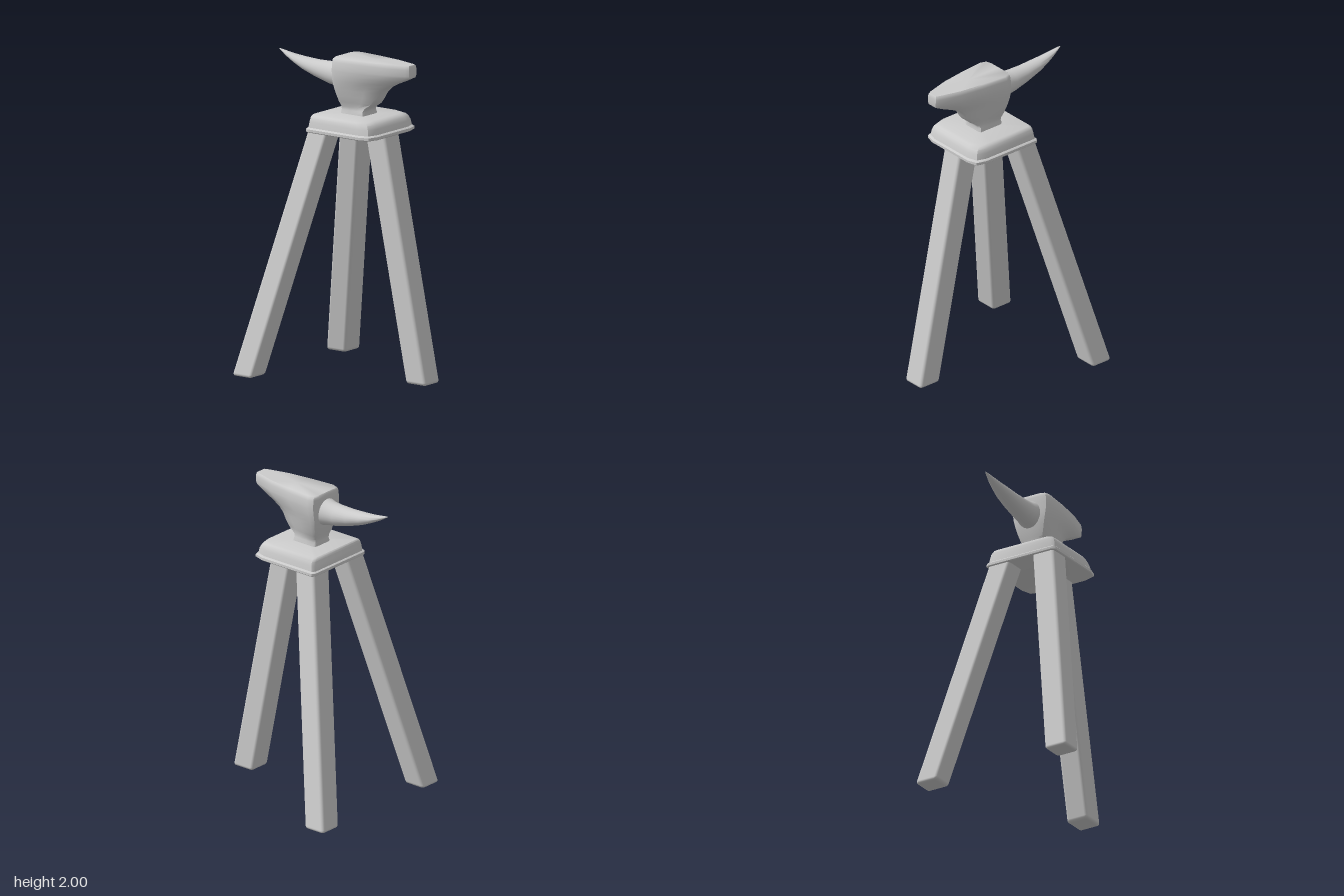
import * as THREE from 'three';
import { toCreasedNormals } from 'three/addons/utils/BufferGeometryUtils.js';
import { RoundedBoxGeometry } from 'three/addons/geometries/RoundedBoxGeometry.js';

const material = new THREE.MeshStandardMaterial({ color: 0xcccccc });

// Skin a series of closed rings (right-handed about the travel direction) and cap both ends
function loft(rings, crease = 0.75) {
  const n = rings[0].length, pos = rings.flat(2), index = [];
  for (let i = 0; i < rings.length - 1; i++) {
    for (let j = 0; j < n; j++) {
      const k = (j + 1) % n;
      const a = i * n + j, b = i * n + k, c = b + n, d = a + n;
      index.push(a, b, c, a, c, d);
    }
  }
  for (const end of [0, rings.length - 1]) {
    const centre = pos.length / 3;
    for (let axis = 0; axis < 3; axis++) {
      pos.push(rings[end].reduce((sum, p) => sum + p[axis], 0) / n);
    }
    for (let j = 0; j < n; j++) {
      const a = end * n + j, b = end * n + (j + 1) % n;
      if (end) index.push(centre, a, b);
      else index.push(centre, b, a);
    }
  }
  const geo = new THREE.BufferGeometry();
  geo.setAttribute('position', new THREE.Float32BufferAttribute(pos, 3));
  geo.setIndex(index);
  return toCreasedNormals(geo, crease);
}

// Complete a half outline of [x, z] pairs by mirroring it in z, at height y
function mirroredRing(half, y) {
  const back = half.filter(([, z]) => z > 0).reverse().map(([x, z]) => [x, -z]);
  return [...half, ...back].map(([x, z]) => [x, y, z]);
}

// Plan of the stand's top: nearly square at -x, blunted corners at +x
function deckRing([y, xl, xr, hz]) {
  return mirroredRing([
    [xl, hz - 0.018], [xl + 0.015, hz], [xr - 0.085, hz],
    [xr - 0.02, hz - 0.02], [xr, hz - 0.085],
  ], y);
}

// Horizontal section of the anvil: wide at the horn end (w), narrow at the heel (wr)
function bodyRing([y, xl, xr, w, wr]) {
  const L = xr - xl, mix = t => w + (wr - w) * t;
  return mirroredRing([
    [xl, 0], [xl, w * 0.6], [xl + 0.02 * L, w * 0.9], [xl + 0.09 * L, w],
    [xl + 0.4 * L, mix(0.2)], [xl + 0.7 * L, mix(0.5)],
    [xr - 0.04 * L, wr], [xr, wr * 0.75], [xr, 0],
  ], y);
}

// Oval section of the horn
function hornRing([x, low, high, w]) {
  return Array.from({ length: 24 }, (_, i) => {
    const a = i / 24 * Math.PI * 2;
    return [x, (low + high) / 2 + (high - low) / 2 * Math.sin(a), w * Math.cos(a)];
  });
}

// Square beam sheared so that its foot stays level while it leans
function leg(foot, top, width, depth) {
  const h = 1.56;
  const geo = new RoundedBoxGeometry(width, h, depth, 3, 0.02);
  geo.translate(0, h / 2, 0);
  const sx = (top[0] - foot[0]) / h, sz = (top[1] - foot[1]) / h;
  geo.applyMatrix4(new THREE.Matrix4().set(
    1, sx, 0, foot[0],
    0, 1, 0, 0,
    0, sz, 1, foot[1],
    0, 0, 0, 1));
  return geo;
}

export function createModel() {
  const model = new THREE.Group();
  const add = (name, geo) => {
    const mesh = new THREE.Mesh(geo, material);
    mesh.name = name;
    model.add(mesh);
  };

  // Three splayed legs
  add('heelLeg', leg([0.52, 0], [0.198, 0], 0.155, 0.152));
  add('frontLeg', leg([-0.472, 0.477], [-0.12, 0.158], 0.15, 0.155));
  add('backLeg', leg([-0.472, -0.477], [-0.12, -0.158], 0.15, 0.155));

  // Stand top: thin rim below, rounded block above
  add('deckRim', loft([
    [1.535, -0.205, 0.29, 0.248], [1.54, -0.21, 0.296, 0.253],
    [1.556, -0.21, 0.296, 0.253], [1.565, -0.2, 0.285, 0.243],
  ].map(deckRing)));
  add('deckBlock', loft([
    [1.55, -0.203, 0.287, 0.243], [1.6, -0.196, 0.278, 0.236],
    [1.625, -0.193, 0.266, 0.229], [1.638, -0.19, 0.25, 0.219],
    [1.645, -0.183, 0.23, 0.205],
  ].map(deckRing)));

  // Anvil: square foot, waist, flaring body and heel
  add('anvilBody', loft([
    [1.63, -0.072, 0.112, 0.075, 0.075], [1.652, -0.072, 0.112, 0.074, 0.074],
    [1.67, -0.068, 0.108, 0.069, 0.067], [1.69, -0.07, 0.118, 0.073, 0.06],
    [1.72, -0.08, 0.165, 0.088, 0.055], [1.76, -0.09, 0.195, 0.102, 0.055],
    [1.8, -0.099, 0.218, 0.114, 0.055], [1.83, -0.104, 0.25, 0.122, 0.054],
    [1.86, -0.107, 0.305, 0.129, 0.052], [1.89, -0.108, 0.375, 0.134, 0.049],
    [1.92, -0.108, 0.437, 0.136, 0.045], [1.935, -0.108, 0.441, 0.136, 0.048],
    [1.975, -0.108, 0.441, 0.132, 0.05], [1.992, -0.106, 0.439, 0.126, 0.047],
    [2.0, -0.1, 0.434, 0.118, 0.042],
  ].map(bodyRing), 0.85));

  // Tapering horn, rising to its tip
  add('horn', loft([
    [-0.07, 1.775, 1.965, 0.09], [-0.11, 1.787, 1.957, 0.083],
    [-0.14, 1.793, 1.948, 0.073], [-0.2, 1.803, 1.942, 0.068],
    [-0.3, 1.83, 1.94, 0.06], [-0.4, 1.864, 1.945, 0.051],
    [-0.47, 1.895, 1.951, 0.038], [-0.53, 1.925, 1.96, 0.024],
    [-0.575, 1.952, 1.968, 0.011], [-0.594, 1.964, 1.971, 0.005],
    [-0.6, 1.968, 1.97, 0.001],
  ].map(hornRing), 1));

  return model;
}
